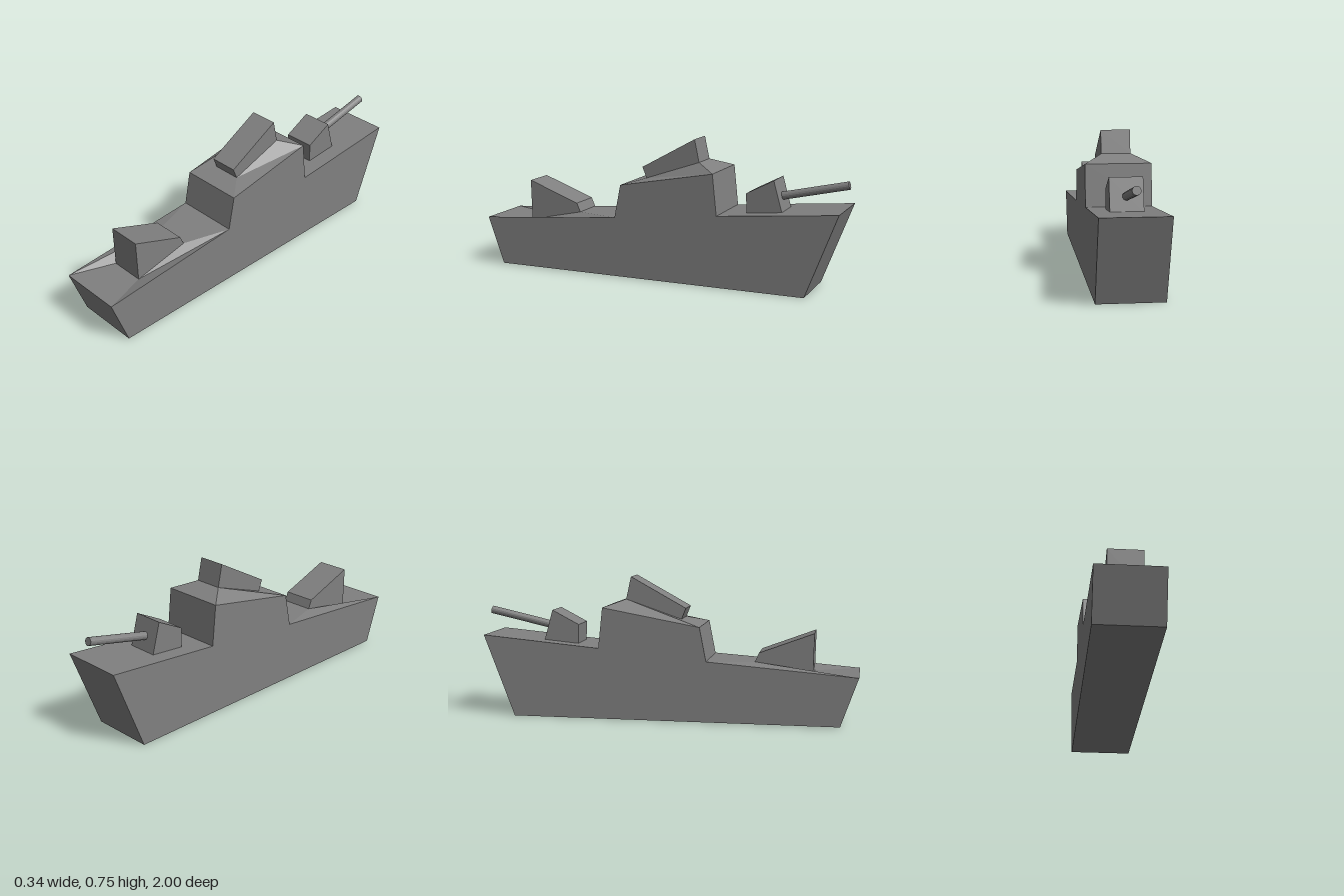
import * as THREE from 'three';

const HALF = 0.168; // half width of the hull

// Flat-sided geometry from four-cornered faces
function quads(list) {
  const pos = [];
  for (const q of list) for (const i of [0, 1, 3, 1, 2, 3]) pos.push(...q[i]);
  const g = new THREE.BufferGeometry();
  g.setAttribute('position', new THREE.Float32BufferAttribute(pos, 3));
  g.computeVertexNormals();
  return g;
}

// Four corners of a tilted rectangle: half width, front z and y, back z and y
const ring = (w, zf, yf, zb, yb) => [[w, yf, zf], [w, yb, zb], [-w, yb, zb], [-w, yf, zf]];

// Faces between two rings
const band = (a, b) => a.map((p, i) => [p, a[(i + 1) % 4], b[(i + 1) % 4], b[i]]);

export function createModel() {
  const ship = new THREE.Group();
  ship.name = 'warship';
  const grey = new THREE.MeshStandardMaterial({ color: 0x808080, flatShading: true });
  grey.name = 'hull grey';
  const add = (name, geometry) => {
    const m = new THREE.Mesh(geometry, grey);
    m.name = name;
    ship.add(m);
    return m;
  };

  // Side profile as [z, y], from the bow round the keel and back over the decks
  const profile = [
    [1, 0.262], [0.91, 0.006], [-0.82, 0], [-0.985, 0.433],
    [-0.353, 0.377], [-0.33, 0.592], [0.185, 0.5], [0.22, 0.322],
  ];

  // Flat hull sides
  for (const s of [1, -1]) {
    const shape = new THREE.Shape(profile.map(([z, y]) => new THREE.Vector2(-s * z, y)));
    const g = new THREE.ShapeGeometry(shape);
    g.rotateY(s * Math.PI / 2).translate(s * HALF, 0, 0);
    add(s > 0 ? 'leftHullSide' : 'rightHullSide', g);
  }

  // Bow, keel, stern, aft deck and bridge walls; the two sloped decks are built below
  const skin = [];
  profile.forEach(([z, y], i) => {
    if (i === 5 || i === 7) return;
    const [z2, y2] = profile[(i + 1) % profile.length];
    skin.push([[HALF, y, z], [-HALF, y, z], [-HALF, y2, z2], [HALF, y2, z2]]);
  });
  add('hullShell', quads(skin));

  // Foredeck dipping to the wedge-shaped forward block
  const foreRim = ring(HALF, 1, 0.262, 0.22, 0.322);
  const foreBase = ring(0.089, 0.765, 0.254, 0.465, 0.318);
  const foreTop = ring(0.089, 0.77, 0.473, 0.485, 0.365);
  add('foredeck', quads(band(foreRim, foreBase)));
  add('forwardBlock', quads([...band(foreBase, foreTop), foreTop]));

  // Bridge roof rising to the tilted upper block
  const roofRim = ring(HALF, 0.185, 0.5, -0.33, 0.592);
  const roofBase = ring(0.075, 0.075, 0.53, -0.222, 0.631);
  const roofTop = ring(0.075, 0.098, 0.588, -0.196, 0.75);
  add('bridgeRoof', quads(band(roofRim, roofBase)));
  add('upperBlock', quads([...band(roofBase, roofTop), roofTop]));

  // Aft turret
  const turretBase = ring(0.082, -0.485, 0.38, -0.673, 0.4);
  const turretTop = ring(0.082, -0.482, 0.49, -0.627, 0.565);
  add('aftTurret', quads([...band(turretBase, turretTop), turretTop]));

  // Gun barrel
  const from = new THREE.Vector3(0, 0.472, -0.63);
  const to = new THREE.Vector3(0, 0.553, -0.994);
  const dir = to.clone().sub(from);
  const barrel = add('gunBarrel', new THREE.CylinderGeometry(0.021, 0.021, dir.length(), 16));
  barrel.position.copy(from).add(to).multiplyScalar(0.5);
  barrel.quaternion.setFromUnitVectors(new THREE.Vector3(0, 1, 0), dir.normalize());

  return ship;
}
